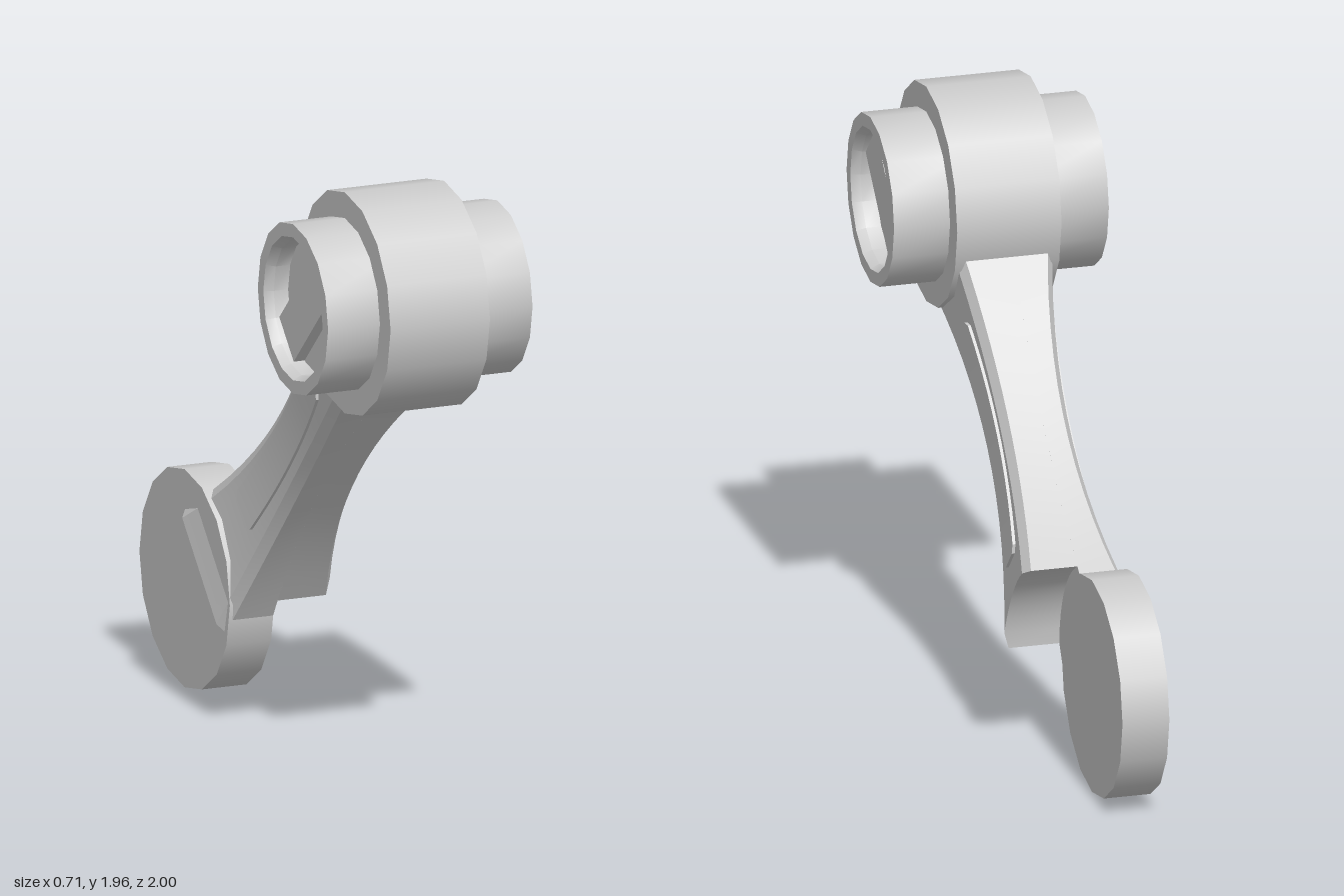
import * as THREE from 'three';
import { toCreasedNormals } from 'three/addons/utils/BufferGeometryUtils.js';

const PIN = { y: 1.59, z: 0.635 }, DISC = { y: 0.36, z: -0.64 };
const LEN = Math.hypot(DISC.y - PIN.y, DISC.z - PIN.z);
const DY = (DISC.y - PIN.y) / LEN, DZ = (DISC.z - PIN.z) / LEN;

// Arm frame: t runs from pin to disc, n across the arm, x sideways
const at = (x, t, n) => [x, PIN.y + DY * t - DZ * n, PIN.z + DZ * t + DY * n];

// Flared arm outline and side width
const upper = t => 0.093 + 0.17 * (t - 0.95) ** 2;
const lower = t => -0.168 - 0.16 * (t - 0.72) ** 2;
const halfX = t => 0.112 + 0.15 * (t - 0.87) ** 2;

// Skin closed rings; point i of a ring faces point m-1-i, which closes the ends
function loft(rings) {
  const m = rings[0].length, last = (rings.length - 1) * m, idx = [];
  const quad = (a, b, c, d) => idx.push(a, b, c, a, c, d);
  for (let r = 0; r < rings.length - 1; r++)
    for (let i = 0; i < m; i++) {
      const a = r * m + i, b = r * m + (i + 1) % m;
      quad(a, b, b + m, a + m);
    }
  for (let i = 0; i < m / 2 - 1; i++) {
    quad(i + 1, i, m - 1 - i, m - 2 - i);
    quad(last + i, last + i + 1, last + m - 2 - i, last + m - 1 - i);
  }
  // Turn the faces outward
  const p = rings.flat(), v = k => new THREE.Vector3(...p[k]);
  let volume = 0;
  for (let k = 0; k < idx.length; k += 3)
    volume += v(idx[k]).dot(v(idx[k + 1]).cross(v(idx[k + 2])));
  if (volume < 0) idx.reverse();
  const g = new THREE.BufferGeometry();
  g.setAttribute('position', new THREE.Float32BufferAttribute(p.flat(), 3));
  g.setIndex(idx);
  return toCreasedNormals(g, 0.3);
}

// One half of the arm, split at the disc's inner face
function armHalf(side, endT) {
  const splitX = -0.02, start = 0.28, steps = 14, rings = [];
  const chamferN = 0.035, chamferX = 0.022, across = 8;
  for (let s = 0; s <= steps; s++) {
    const outer = [], inner = [];
    for (let i = 0; i <= across + 2; i++) {
      const edge = i === 0 || i === across + 2;
      let t = 1, n = 0;
      for (let k = 0; k < 8; k++) {
        const lo = lower(t), hi = upper(t);
        n = i === 0 ? lo : edge ? hi
          : lo + chamferN + (hi - lo - 2 * chamferN) * (i - 1) / across;
        t = start + (endT(n) - start) * s / steps;
      }
      outer.push(at(side * (halfX(t) - (edge ? chamferX : 0)), t, n));
      inner.unshift(at(splitX, t, n));
    }
    rings.push([...outer, ...inner]);
  }
  return loft(rings);
}

// Raised panel with clipped corners that follows the arm's side
function panel(side) {
  const t0 = 0.475, t1 = 1.285, clip = 0.022, rings = [];
  const stops = [t0];
  for (let i = 0; i <= 10; i++) stops.push(t0 + clip + (t1 - t0 - 2 * clip) * i / 10);
  stops.push(t1);
  stops.forEach((t, i) => {
    const k = (t - t0) / (t1 - t0), mid = -0.013 - 0.033 * k;
    const half = 0.064 + 0.008 * k - (i === 0 || i === stops.length - 1 ? clip : 0);
    const top = side * (halfX(t) + 0.01), base = side * (halfX(t) - 0.02);
    rings.push([at(top, t, mid - half), at(top, t, mid + half),
      at(base, t, mid + half), at(base, t, mid - half)]);
  });
  return loft(rings);
}

export function createModel() {
  const model = new THREE.Group();
  model.name = 'connectingArm';
  const material = new THREE.MeshStandardMaterial({ color: 0xcccccc });
  const add = (name, geometry) => {
    const mesh = new THREE.Mesh(geometry, material);
    mesh.name = name;
    model.add(mesh);
    return mesh;
  };

  // Cylinder lying along x
  const drum = (name, r, x0, x1, c) => {
    const g = new THREE.CylinderGeometry(r, r, x1 - x0, 16).rotateZ(-Math.PI / 2);
    add(name, g).position.set((x0 + x1) / 2, c.y, c.z);
  };
  drum('hub', 0.365, -0.175, 0.17, PIN);
  drum('endDisc', 0.36, -0.175, -0.02, DISC);

  // Arm: the left half is scooped out around the disc, the right half laps over it
  add('armLeftHalf', armHalf(1, n => LEN - Math.sqrt(0.385 ** 2 - n * n)));
  add('armRightHalf', armHalf(-1, () => 1.61));

  for (const side of [1, -1]) {
    const label = side > 0 ? 'Left' : 'Right';
    add('sidePanel' + label, panel(side));

    // Pin end with a recessed face
    const profile = [[0.28, 0.1], [0.28, 0.355], [0.236, 0.355], [0.222, 0.325],
      [0.222, 0.275], [0, 0.275]].map(p => new THREE.Vector2(...p));
    profile.reverse();
    const geo = new THREE.LatheGeometry(profile.reverse(), 16);
    geo.rotateZ(-Math.PI / 2);
    const pin = add('pinEnd' + label, toCreasedNormals(geo, 0.45));
    pin.position.set(0, PIN.y, PIN.z);
    if (side < 0) pin.rotation.y = Math.PI;

    // Bar across the recess, in line with the arm
    const bar = add('pinBar' + label, new THREE.BoxGeometry(0.05, 0.165, 0.41));
    bar.position.set(side * 0.288, PIN.y, PIN.z);
    bar.rotation.x = Math.atan2(-DY, DZ);
  }
  return model;
}
